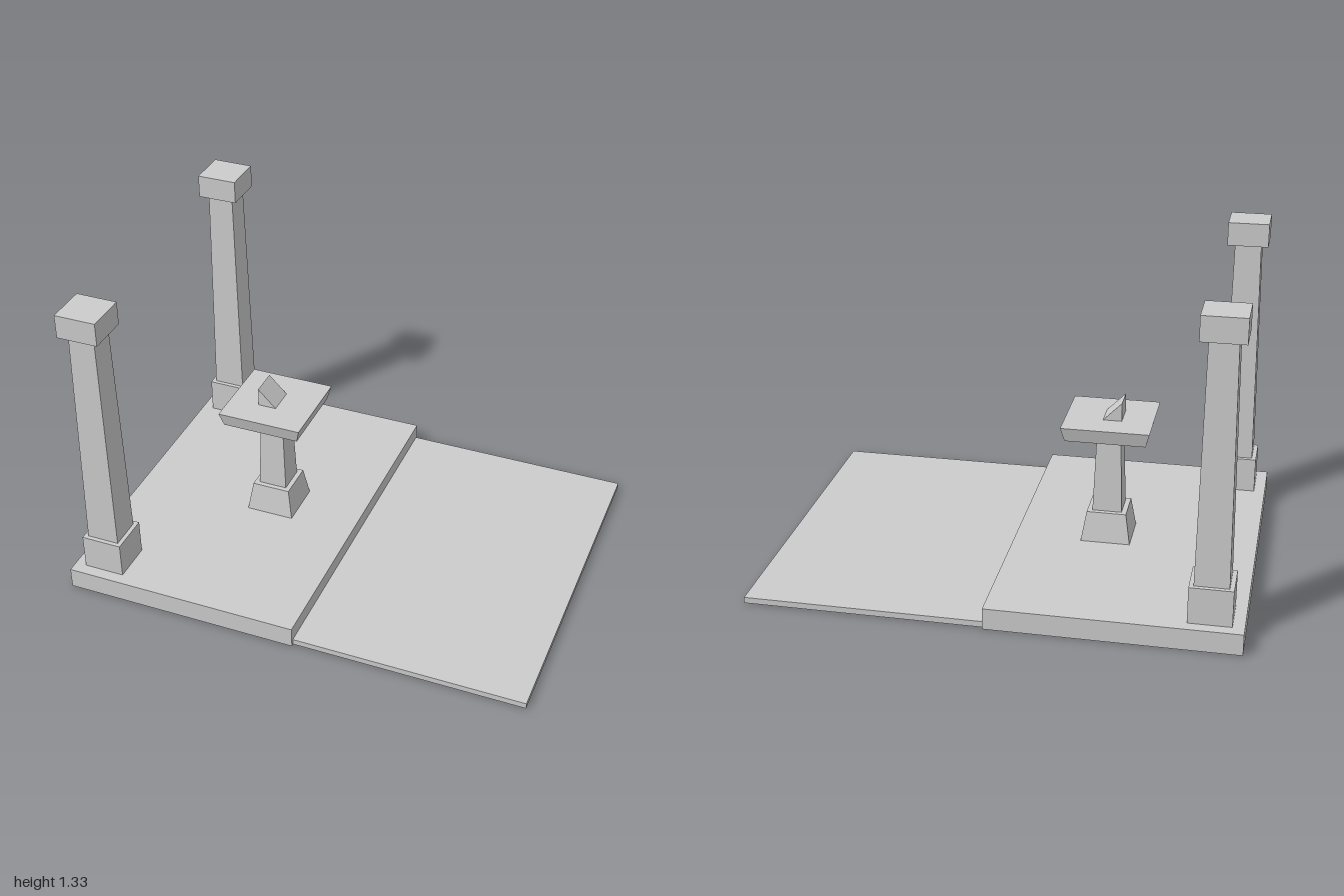
import * as THREE from 'three';

const material = new THREE.MeshStandardMaterial({ color: 0xcccccc, flatShading: true });

// Square block between two heights, with its own half width at bottom and top
function block(name, x, z, y0, y1, halfBottom, halfTop = halfBottom) {
  const geometry = new THREE.BoxGeometry(2, y1 - y0, 2);
  const p = geometry.attributes.position;
  for (let i = 0; i < p.count; i++) {
    const half = p.getY(i) > 0 ? halfTop : halfBottom;
    p.setX(i, p.getX(i) * half);
    p.setZ(i, p.getZ(i) * half);
  }
  geometry.computeVertexNormals();
  const mesh = new THREE.Mesh(geometry, material);
  mesh.name = name;
  mesh.position.set(x, (y0 + y1) / 2, z);
  return mesh;
}

// Flat floor slab
function slab(name, x0, x1, y0, y1, depth) {
  const mesh = new THREE.Mesh(new THREE.BoxGeometry(x1 - x0, y1 - y0, depth), material);
  mesh.name = name;
  mesh.position.set((x0 + x1) / 2, (y0 + y1) / 2, 0);
  return mesh;
}

function column(name, x, z) {
  const group = new THREE.Group();
  group.name = name;
  group.add(
    block('columnBase', x, z, 0.09, 0.243, 0.087),
    block('columnShaft', x, z, 0.243, 1.232, 0.069, 0.056),
    block('columnCap', x, z, 1.232, 1.332, 0.087),
  );
  return group;
}

function pedestal(x) {
  const group = new THREE.Group();
  group.name = 'pedestal';
  group.add(
    block('pedestalFoot', x, 0, 0.09, 0.218, 0.104, 0.083),
    block('pedestalShaft', x, 0, 0.218, 0.57, 0.062, 0.05),
    block('pedestalTable', x, 0, 0.57, 0.631, 0.167, 0.183),
  );

  // Triangular wedge on the table, sloping down towards +x
  const profile = new THREE.Shape([
    new THREE.Vector2(-0.422, 0.631),
    new THREE.Vector2(-0.344, 0.631),
    new THREE.Vector2(-0.422, 0.71),
  ]);
  const geometry = new THREE.ExtrudeGeometry(profile, { depth: 0.118, bevelEnabled: false });
  const wedge = new THREE.Mesh(geometry, material);
  wedge.name = 'wedge';
  wedge.position.z = -0.059;
  group.add(wedge);
  return group;
}

export function createModel() {
  const model = new THREE.Group();
  model.name = 'courtyard';

  // Raised platform and lower floor
  model.add(
    slab('platform', -1, 0.015, 0, 0.09, 1.514),
    slab('lowerFloor', 0.015, 1, 0.002, 0.027, 1.492),
  );

  // Matching columns at the two outer corners
  for (const side of [1, -1]) {
    model.add(column(side > 0 ? 'frontColumn' : 'backColumn', -0.865, side * 0.621));
  }

  model.add(pedestal(-0.369));
  return model;
}
